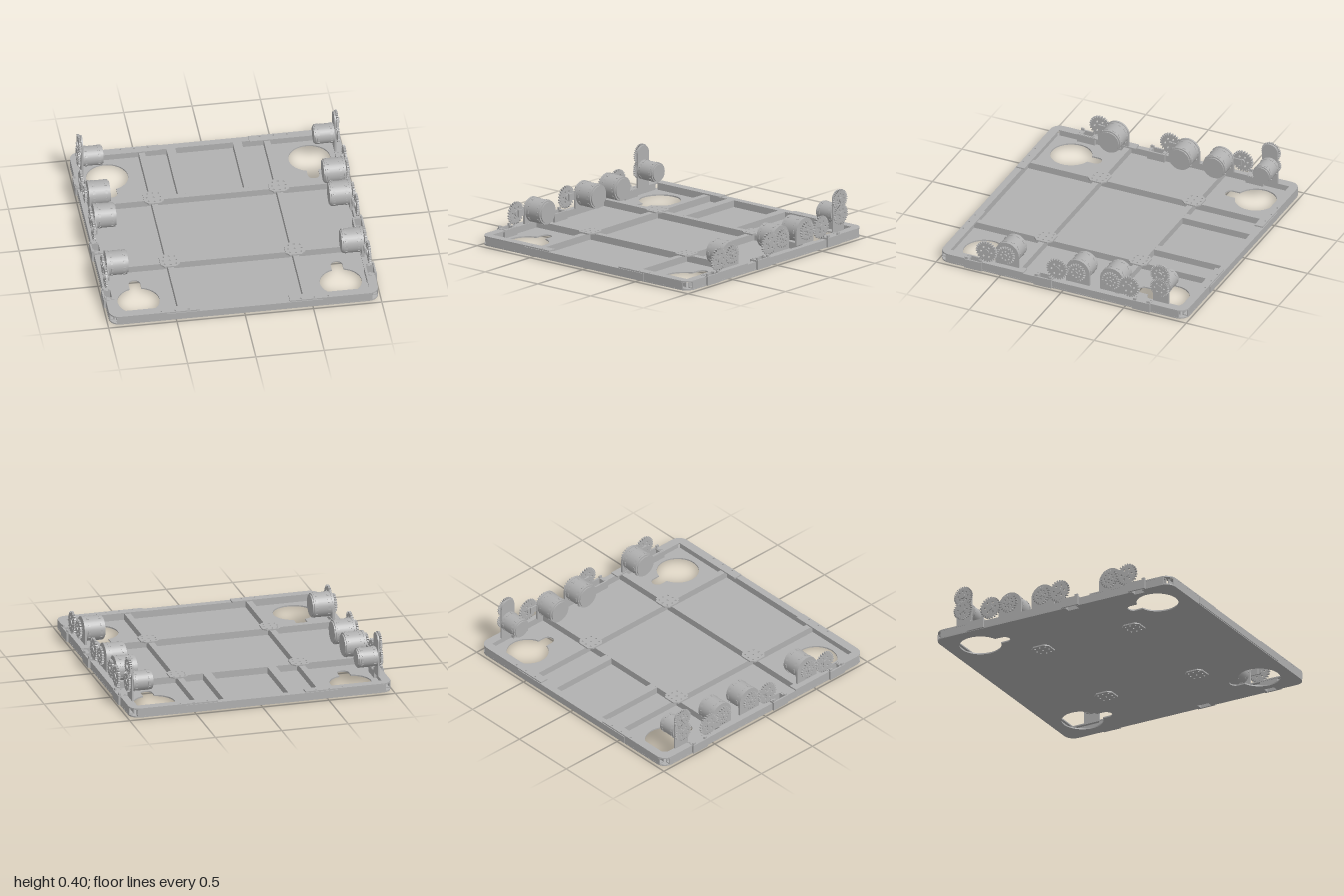
import * as THREE from 'three';
import { toCreasedNormals } from 'three/addons/utils/BufferGeometryUtils.js';

const metal = new THREE.MeshStandardMaterial({ color: 0xb0b0b0 });
metal.name = 'grey metal';

const V = (x, y) => new THREE.Vector2(x, y);
const circle = (x, y, r) => new THREE.Path().absarc(x, y, r, 0, Math.PI * 2, false);
const rect = (x0, y0, x1, y1) => [V(x0, y0), V(x1, y0), V(x1, y1), V(x0, y1)];

function add(parent, name, geo, x = 0, y = 0, z = 0) {
  const m = new THREE.Mesh(geo, metal);
  m.name = name;
  m.position.set(x, y, z);
  parent.add(m);
  return m;
}
function box(parent, name, x0, x1, y0, y1, z0, z1) {
  return add(parent, name, new THREE.BoxGeometry(Math.abs(x1 - x0), y1 - y0, Math.abs(z1 - z0)),
    (x0 + x1) / 2, (y0 + y1) / 2, (z0 + z1) / 2);
}
function extrude(shape, depth) {
  return toCreasedNormals(new THREE.ExtrudeGeometry(shape, { depth, bevelEnabled: false, curveSegments: 16 }), 0.6);
}
// Horizontal plate: shape axes are world x and z, top face at the given height
const flat = (shape, depth) => extrude(shape, depth).rotateX(Math.PI / 2);
// Upright plate: shape axes are world z and y, centred on its own thickness
const upright = (shape, depth) => extrude(shape, depth).translate(0, 0, -depth / 2).rotateY(-Math.PI / 2);
const disc = (r, len, n = 32) => new THREE.CylinderGeometry(r, r, len, n).rotateZ(Math.PI / 2);

// Square tube with open ends, running along x or z
function tube(parent, name, along, a, b, c, w = 0.045) {
  const s = new THREE.Shape(rect(-w / 2, -0.025, w / 2, 0.025));
  s.holes.push(new THREE.Path(rect(-w / 2 + 0.007, -0.018, w / 2 - 0.007, 0.018)));
  const g = extrude(s, b - a).translate(0, 0, a);
  if (along === 'x') g.rotateY(Math.PI / 2);
  return add(parent, name, g, along === 'z' ? c : 0, 0.045, along === 'x' ? c : 0);
}

function arc(cx, cy, r, a0, a1, n) {
  return Array.from({ length: n + 1 }, (_, i) => {
    const a = a0 + (a1 - a0) * i / n;
    return V(cx + r * Math.cos(a), cy + r * Math.sin(a));
  });
}

// Keyhole opening: a circle with a rounded slot pointing to the middle
function keyhole(sx, sz) {
  const a = Math.asin(0.043 / 0.153), h = Math.PI / 2;
  const pts = [...arc(0, 0, 0.153, h + a, h - a + Math.PI * 2, 40), ...arc(0, 0.2, 0.043, 0, Math.PI, 10)];
  return new THREE.Path(pts.map(p => V(sx * 0.74 + p.x, sz * (0.738 - p.y))));
}

const E = 0.985, R = 0.075, H = Math.PI / 2;
const notches = [[0.11, 0.2], [0.665, 0.745]];

function floorShape() {
  const k = E - R, right = [], left = [];
  for (const [a, b] of notches) {
    right.push(V(E, a), V(0.937, a), V(0.937, b), V(E, b));
    left.unshift(V(-E, b), V(-0.937, b), V(-0.937, a), V(-E, a));
  }
  const s = new THREE.Shape([...arc(k, -k, R, -H, 0, 8), ...right, ...arc(k, k, R, 0, H, 8),
    ...arc(-k, k, R, H, 2 * H, 8), ...left, ...arc(-k, -k, R, 2 * H, 3 * H, 8)]);
  for (const sx of [-1, 1]) for (const sz of [-1, 1]) s.holes.push(keyhole(sx, sz));
  return s;
}

// L-shaped corner plate with bolt holes
function cornerShape(sx, sz) {
  const k = E - R, end = sz > 0 ? 0.31 : 0.58;
  const side = sz > 0 ? [V(E, end), V(E, 0.665), V(0.937, 0.665), V(0.937, 0.745), V(E, 0.745)] : [V(E, end)];
  const pts = [V(0.92, end), ...side, ...arc(k, k, R, 0, H, 8), V(0.33, E), V(0.33, 0.92), V(0.92, 0.92)];
  const s = new THREE.Shape(pts.map(p => V(p.x * sx, p.y * sz)));
  for (const x of [0.41, 0.51, 0.61]) s.holes.push(circle(x * sx, 0.968 * sz, 0.007));
  return s;
}

// Cross-shaped joint plate with rounded arms and a bolt hole pattern
function jointShape() {
  const s = new THREE.Shape(), a = 0.072, b = 0.045;
  const pts = [];
  for (let q = 0; q < 4; q++) {
    const c = Math.cos(q * H), n = Math.sin(q * H);
    for (const p of [V(a, -b), V(a, b), V(b + 0.012, b + 0.012)]) pts.push(V(p.x * c - p.y * n, p.x * n + p.y * c));
  }
  s.setFromPoints(pts);
  for (const [x, y] of [[0, 0], [0.05, 0], [-0.05, 0], [0, 0.05], [0, -0.05],
    [0.042, 0.042], [-0.042, 0.042], [0.042, -0.042], [-0.042, -0.042]]) s.holes.push(circle(x, y, 0.007));
  return s;
}

// Toothed wheel with a ring of round openings
function gear(r, teeth, openings, depth) {
  const pts = [], root = r - 0.014;
  for (let i = 0; i < teeth; i++) {
    for (const [t, rad] of [[0, root], [0.28, root], [0.42, r], [0.82, r]]) {
      const a = (i + t) / teeth * Math.PI * 2;
      pts.push(V(rad * Math.cos(a), rad * Math.sin(a)));
    }
  }
  const s = new THREE.Shape(pts);
  for (let i = 0; i < openings; i++) {
    const a = i / openings * Math.PI * 2;
    s.holes.push(circle(r * 0.5 * Math.cos(a), r * 0.5 * Math.sin(a), r * 0.1));
  }
  return upright(s, depth);
}

// Arched upright plate, width w, rising from the frame top to an arch centred at height cy
function mountShape(w, cy) {
  return new THREE.Shape([V(-w, 0.075), V(w, 0.075), ...arc(0, cy, w, 0, Math.PI, 24)]);
}

function motor(parent, s, y, z, r, x0, x1) {
  add(parent, 'motorBody', disc(r, x1 - x0), s * (x0 + x1) / 2, y, z);
  add(parent, 'motorEndCap', disc(r * 0.88, 0.012), s * (x0 - 0.003), y, z);
  // Cooling vents around both ends of the casing
  for (let i = 0; i < 10; i++) for (const x of [x0 + 0.022, x1 - 0.022]) {
    const a = i / 10 * Math.PI * 2 + 0.3;
    const v = add(parent, 'motorVent', new THREE.BoxGeometry(0.016, 0.005, 0.026),
      s * x, y + Math.cos(a) * r, z + Math.sin(a) * r);
    v.rotation.x = a;
  }
}

export function createModel() {
  const model = new THREE.Group();
  model.name = 'driveBase';

  add(model, 'floorPlate', flat(floorShape(), 0.01), 0, 0.02, 0);

  // Frame tubes
  const frame = new THREE.Group();
  frame.name = 'frame';
  model.add(frame);
  for (const s of [-1, 1]) {
    tube(frame, 'endRail', 'x', -0.935, 0.935, s * 0.962);
    box(frame, 'endCoverPlate', -0.57, 0.57, 0.016, 0.07, s * 0.984, s * 0.991);
    tube(frame, 'crossBeam', 'x', -0.944, 0.944, s * 0.377);
    tube(frame, 'longBeam', 'z', -0.94, 0.94, s * 0.458);
    tube(frame, 'rearShortBeam', 'z', -0.94, -0.4, s * 0.243, 0.065);
    for (const [a, b] of [[-0.93, -0.7], [-0.575, 0.09], [0.21, 0.65], [0.77, 0.93]])
      tube(frame, 'sideRail', 'z', a, b, s * 0.964, 0.04);
    for (const t of [-1, 1]) {
      add(frame, 'cornerPlate', flat(cornerShape(s, t), 0.01), 0, 0.08, 0);
      add(frame, 'topJointPlate', flat(jointShape(), 0.01), s * 0.458, 0.08, t * 0.377);
      add(frame, 'bottomJointPlate', flat(jointShape(), 0.01), s * 0.458, 0.01, t * 0.377);
    }
  }

  for (const s of [-1, 1]) {
    const side = new THREE.Group();
    side.name = s > 0 ? 'leftDrive' : 'rightDrive';
    model.add(side);

    // Axle brackets set into the side rails
    for (const [z, open] of [[0.708, true], [0.15, true], [-0.637, false]]) {
      const shape = new THREE.Shape(rect(-0.038, -0.07, 0.038, 0.07));
      if (open) shape.holes.push(new THREE.Path(rect(-0.026, -0.045, 0.026, 0.045)));
      add(side, 'axleBracket', flat(shape, 0.07), s * 0.962, 0.083, z);
      for (const t of [-1, 1]) {
        box(side, 'bracketEar', s * 0.982, s * 0.994, 0.08, 0.1, z + t * 0.055 - 0.012, z + t * 0.055 + 0.012);
        for (const y of [0.035, 0.06])
          add(side, 'bracketBolt', disc(0.007, 0.004, 12), s * 0.998, y, z + t * 0.045);
        add(side, 'bracketTopBolt', new THREE.CylinderGeometry(0.006, 0.006, 0.006, 12), s * 0.945, 0.085, z + t * 0.058);
      }
    }

    // Drive motors, each with a pinion meshing with a larger wheel gear
    for (const [zm, zg] of [[0.46, 0.612], [-0.105, 0.047], [-0.378, -0.527]]) {
      const unit = new THREE.Group();
      unit.name = 'driveUnit';
      side.add(unit);
      motor(unit, s, 0.172, zm, 0.09, 0.79, 0.925);
      add(unit, 'motorMount', upright(mountShape(0.094, 0.172), 0.016), s * 0.933, 0, zm);
      add(unit, 'pinionGear', gear(0.07, 20, 8, 0.016), s * 0.96, 0.174, zm);
      add(unit, 'pinionHub', disc(0.014, 0.045, 16), s * 0.955, 0.174, zm);
      add(unit, 'wheelGear', gear(0.084, 24, 6, 0.016), s * 0.964, 0.17, zg);
      add(unit, 'wheelGearHub', disc(0.022, 0.034, 16), s * 0.962, 0.17, zg);
      box(unit, 'gearArm', s * 0.934, s * 0.944, 0.145, 0.195, zm, zg);
    }

    // Rear motor with a raised gear
    const rear = new THREE.Group();
    rear.name = 'rearUnit';
    side.add(rear);
    motor(rear, s, 0.212, -0.765, 0.072, 0.78, 0.92);
    add(rear, 'rearMount', upright(mountShape(0.062, 0.33), 0.012), s * 0.926, 0, -0.765);
    add(rear, 'lowerGear', gear(0.075, 30, 6, 0.014), s * 0.95, 0.213, -0.765);
    add(rear, 'upperGear', gear(0.076, 30, 8, 0.014), s * 0.943, 0.323, -0.765);
    for (const y of [0.213, 0.323]) add(rear, 'gearHub', disc(0.02, 0.03, 16), s * 0.948, y, -0.765);
  }
  return model;
}
